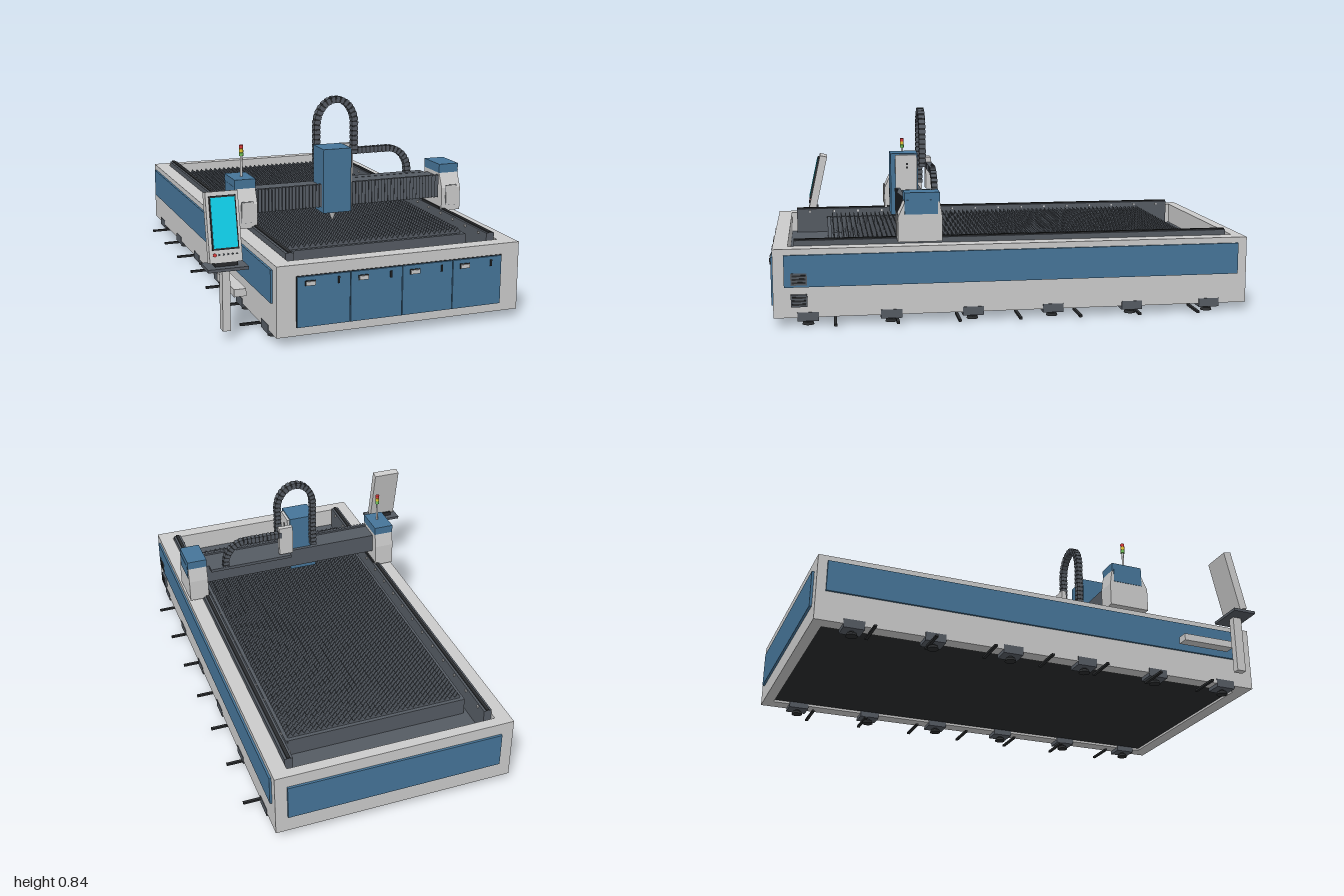
import * as THREE from 'three';

const mat = (color) => new THREE.MeshStandardMaterial({ color });
const GREY = mat(0xcccccc), BLUE = mat(0x467599), DARK = mat(0x555b63), BLACK = mat(0x2a2c2e);
const CYAN = mat(0x10d0ea), RED = mat(0xd83a3a), YELLOW = mat(0xe6c832), GREEN = mat(0x6fbf5a);

export function createModel() {
  const root = new THREE.Group();

  const add = (name, geo, material, parent = root) => {
    const m = new THREE.Mesh(geo, material);
    m.name = name;
    parent.add(m);
    return m;
  };
  // box from its bounds
  const box = (name, material, x0, x1, y0, y1, z0, z1, parent = root) => {
    const m = add(name, new THREE.BoxGeometry(x1 - x0, y1 - y0, z1 - z0), material, parent);
    m.position.set((x0 + x1) / 2, (y0 + y1) / 2, (z0 + z1) / 2);
    return m;
  };
  const cyl = (name, material, rTop, rBottom, x, y0, y1, z, parent = root) => {
    const m = add(name, new THREE.CylinderGeometry(rTop, rBottom, y1 - y0, 20), material, parent);
    m.position.set(x, (y0 + y1) / 2, z);
    return m;
  };
  const shapeOf = (pts) => new THREE.Shape(pts.map((p) => new THREE.Vector2(p[0], p[1])));
  const rect = (x0, x1, y0, y1) => [[x0, y0], [x1, y0], [x1, y1], [x0, y1]];
  const extrude = (shape, depth) => new THREE.ExtrudeGeometry(shape, { depth, bevelEnabled: false });

  const CX = 0.08; // centre line of the machine bed
  const sides = [-1, 1];

  // Bed frame: hollow rectangle, with floor and underside plate
  const frame = shapeOf(rect(-0.43, 0.59, -0.98, 0.985));
  frame.holes.push(new THREE.Path(rect(-0.366, 0.525, -0.92, 0.94).map((p) => new THREE.Vector2(...p))));
  const bed = add('bedFrame', extrude(frame, 0.279), GREY);
  bed.rotation.x = -Math.PI / 2;
  bed.position.y = 0.035;
  box('bedFloor', DARK, -0.366, 0.525, 0.2, 0.225, -0.94, 0.92);
  box('undersidePlate', BLACK, -0.366, 0.525, 0.045, 0.06, -0.94, 0.92);

  // Slat table: surrounding frame and saw-toothed slats
  for (const s of sides) {
    const x = CX + s * 0.385, z = -0.008 + s * 0.755;
    box('tableSide', DARK, x - 0.008, x + 0.008, 0.225, 0.3, -0.77, 0.755);
    box('tableEnd', DARK, -0.305, 0.465, 0.225, 0.3, z - 0.008, z + 0.008);
  }
  const teeth = 32, slatW = 0.76, pts = [[-0.3, 0.24]];
  for (let i = 0; i <= teeth * 2; i++) pts.push([-0.3 + (slatW * i) / (teeth * 2), i % 2 ? 0.322 : 0.304]);
  pts.push([-0.3 + slatW, 0.24]);
  const slatGeo = extrude(shapeOf(pts.reverse()), 0.004);
  for (let i = 0; i < 75; i++) add('slat', slatGeo, DARK).position.z = -0.752 + i * 0.02;

  // Long guide rails on supports
  for (const s of sides) {
    const x = CX + s * 0.427;
    box('rail', DARK, x - 0.017, x + 0.017, 0.225, 0.336, -0.912, 0.896);
    box('railHead', BLACK, x - 0.007, x + 0.007, 0.336, 0.341, -0.912, 0.896);
    for (let i = 0; i < 16; i++) {
      const z = -0.86 + i * 0.113, cx = x - s * 0.02;
      box('railClip', GREY, cx - 0.004, cx + 0.004, 0.32, 0.328, z - 0.004, z + 0.004);
    }
  }

  // Side and back panels
  for (const s of sides) {
    const x = CX + s * 0.513;
    box('sidePanel', BLUE, x - 0.006, x + 0.006, 0.16, 0.29, -0.946, 0.936);
  }
  box('backPanel', BLUE, -0.377, 0.54, 0.11, 0.262, -0.995, -0.98);

  // Side vents near the front
  for (const [y0, y1] of [[0.168, 0.217], [0.08, 0.13]]) {
    box('ventPlate', DARK, 0.585, 0.6, y0, y1, 0.845, 0.91);
    for (let i = 0; i < 3; i++) {
      const y = y0 + 0.007 + i * 0.014;
      box('ventSlot', BLACK, 0.6, 0.603, y, y + 0.007, 0.85, 0.905);
    }
  }

  // Front doors with pull and latch
  box('doorBacking', BLACK, -0.353, 0.512, 0.068, 0.27, 0.978, 0.983);
  for (let i = 0; i < 4; i++) {
    const x = -0.351 + i * 0.2153;
    box('door', BLUE, x + 0.001, x + 0.213, 0.07, 0.268, 0.98, 0.99);
    box('doorPull', BLACK, x + 0.03, x + 0.072, 0.232, 0.252, 0.99, 0.994);
    box('doorPullPlate', GREY, x + 0.033, x + 0.069, 0.235, 0.249, 0.994, 0.998);
    box('doorLatch', BLACK, x + 0.162, x + 0.169, 0.23, 0.256, 0.99, 0.996);
  }

  // Feet and anchor bars along both sides
  for (const s of sides) {
    const x = CX + s * 0.476;
    for (let i = 0; i < 6; i++) {
      const z = 0.843 - i * 0.3335;
      box('footBlock', DARK, x - 0.036, x + 0.036, 0.02, 0.056, z - 0.043, z + 0.043);
      cyl('footStem', BLACK, 0.01, 0.01, x, 0.008, 0.022, z);
      cyl('footPad', BLACK, 0.02, 0.024, x, 0, 0.012, z);
    }
    for (let i = 0; i < 7; i++) {
      const z = -0.757 + i * 0.2487, bx = CX + s * 0.509;
      box('anchorBar', BLACK, bx - 0.069, bx + 0.069, 0.011, 0.02, z - 0.006, z + 0.006);
    }
  }

  // Gantry end columns: sloped grey housing with blue cap
  const profile = [[-0.48, 0.33], [-0.3, 0.33], [-0.3, 0.43], [-0.31, 0.494], [-0.45, 0.494], [-0.48, 0.43]];
  for (const s of sides) {
    const x = CX + s * 0.463, g = new THREE.Group();
    g.name = 'gantryColumn';
    root.add(g);
    const h = add('columnHousing', extrude(shapeOf(profile), 0.088), GREY, g);
    h.rotation.y = Math.PI / 2;
    h.position.x = x - 0.044;
    box('columnCap', BLUE, x - 0.045, x + 0.045, 0.492, 0.53, 0.31, 0.453, g);
    const ox = x + s * 0.044;
    box('capSkirt', BLUE, ox - 0.002, ox + 0.002, 0.442, 0.5, 0.318, 0.452, g);
    box('columnHatchGap', DARK, x - 0.026, x + 0.026, 0.353, 0.442, 0.478, 0.481, g);
    box('columnHatch', GREY, x - 0.0245, x + 0.0245, 0.3545, 0.4405, 0.479, 0.484, g);
    const rx = CX + s * 0.427;
    box('railCarriage', BLACK, rx - 0.015, rx + 0.015, 0.32, 0.345, 0.31, 0.47, g);
  }

  // Gantry beam and pleated bellows
  box('beam', DARK, -0.34, 0.5, 0.388, 0.475, 0.34, 0.44);
  const pleats = [[-0.338, -0.435]], n = 56;
  for (let i = 0; i <= n * 2; i++) pleats.push([-0.338 + (0.838 * i) / (n * 2), i % 2 ? -0.459 : -0.444]);
  pleats.push([0.5, -0.435]);
  // pleats are a flat strip turned upright
  const bellows = add('bellows', extrude(shapeOf(pleats), 0.098), DARK);
  bellows.rotation.x = -Math.PI / 2;
  bellows.position.y = 0.385;

  // Cutting head
  box('headCover', BLUE, -0.048, 0.076, 0.363, 0.635, 0.355, 0.475);
  box('headSidePlate', GREY, 0.076, 0.088, 0.372, 0.63, 0.36, 0.455);
  box('chainBracket', GREY, 0.08, 0.146, 0.487, 0.625, 0.303, 0.326);
  for (const y of [0.575, 0.59]) box('bracketButton', BLACK, 0.088, 0.091, y - 0.004, y + 0.004, 0.4, 0.408);
  cyl('nozzleCollar', DARK, 0.018, 0.018, 0.014, 0.352, 0.366, 0.42);
  cyl('nozzle', GREY, 0.016, 0.004, 0.014, 0.322, 0.354, 0.42);

  // Cable chains: links spaced evenly along a path
  const chain = (name, path, z, width, count) => {
    const g = new THREE.Group();
    g.name = name;
    root.add(g);
    const step = path.getLength() / count;
    for (let i = 0; i <= count; i++) {
      const p = path.getPointAt(i / count), t = path.getTangentAt(i / count);
      const k = i % 2 ? 0.88 : 1;
      const link = add('chainLink', new THREE.BoxGeometry(step * 1.35, 0.028 * k, width * k), i % 2 ? BLACK : DARK, g);
      link.position.set(p.x, p.y, z);
      link.rotation.z = Math.atan2(t.y, t.x);
    }
  };
  const v = (x, y) => new THREE.Vector2(x, y);
  const arch = new THREE.CurvePath();
  arch.add(new THREE.LineCurve(v(-0.03, 0.5), v(-0.03, 0.715)));
  arch.add(new THREE.EllipseCurve(0.056, 0.715, 0.086, 0.107, Math.PI, 0, true));
  arch.add(new THREE.LineCurve(v(0.142, 0.715), v(0.142, 0.59)));
  chain('archCableChain', arch, 0.341, 0.03, 62);
  const run = new THREE.CurvePath();
  run.add(new THREE.LineCurve(v(0.14, 0.59), v(0.31, 0.59)));
  run.add(new THREE.EllipseCurve(0.31, 0.49, 0.097, 0.1, Math.PI / 2, 0, true));
  run.add(new THREE.LineCurve(v(0.407, 0.49), v(0.407, 0.475)));
  chain('beamCableChain', run, 0.314, 0.026, 36);
  box('chainTray', DARK, 0.09, 0.48, 0.462, 0.476, 0.3, 0.342);

  // Signal tower
  cyl('signalPole', GREY, 0.005, 0.005, -0.38, 0.53, 0.617, 0.392);
  [GREEN, YELLOW, RED].forEach((m, i) =>
    cyl('signalLamp', m, 0.009, 0.009, -0.38, 0.617 + i * 0.0155, 0.631 + i * 0.0155, 0.392));

  // Control stand: post, arm, shelf
  box('standPost', GREY, -0.597, -0.566, 0.035, 0.283, 0.8, 0.84);
  box('standArm', GREY, -0.545, -0.497, 0.16, 0.19, 0.585, 0.82);
  box('standShelf', DARK, -0.66, -0.5, 0.281, 0.293, 0.768, 0.87);
  box('monitorFoot', BLACK, -0.625, -0.535, 0.293, 0.312, 0.795, 0.84);

  // Tilted monitor, built upright around its base
  const monitor = new THREE.Group();
  monitor.name = 'monitor';
  monitor.position.set(-0.58, 0.305, 0.825);
  monitor.rotation.x = -0.22;
  root.add(monitor);
  box('monitorCase', GREY, -0.064, 0.064, 0, 0.268, -0.018, 0.017, monitor);
  box('screenBezel', BLACK, -0.052, 0.052, 0.048, 0.252, 0.017, 0.024, monitor);
  box('screen', CYAN, -0.047, 0.047, 0.055, 0.245, 0.024, 0.026, monitor);
  for (let i = 0; i < 6; i++) {
    const r = i ? 0.0035 : 0.007;
    const b = add('monitorButton', new THREE.CylinderGeometry(r, r, 0.006, 16), i ? DARK : RED, monitor);
    b.rotation.x = Math.PI / 2;
    b.position.set(-0.044 + i * 0.0175, 0.03, 0.019);
  }
  return root;
}
